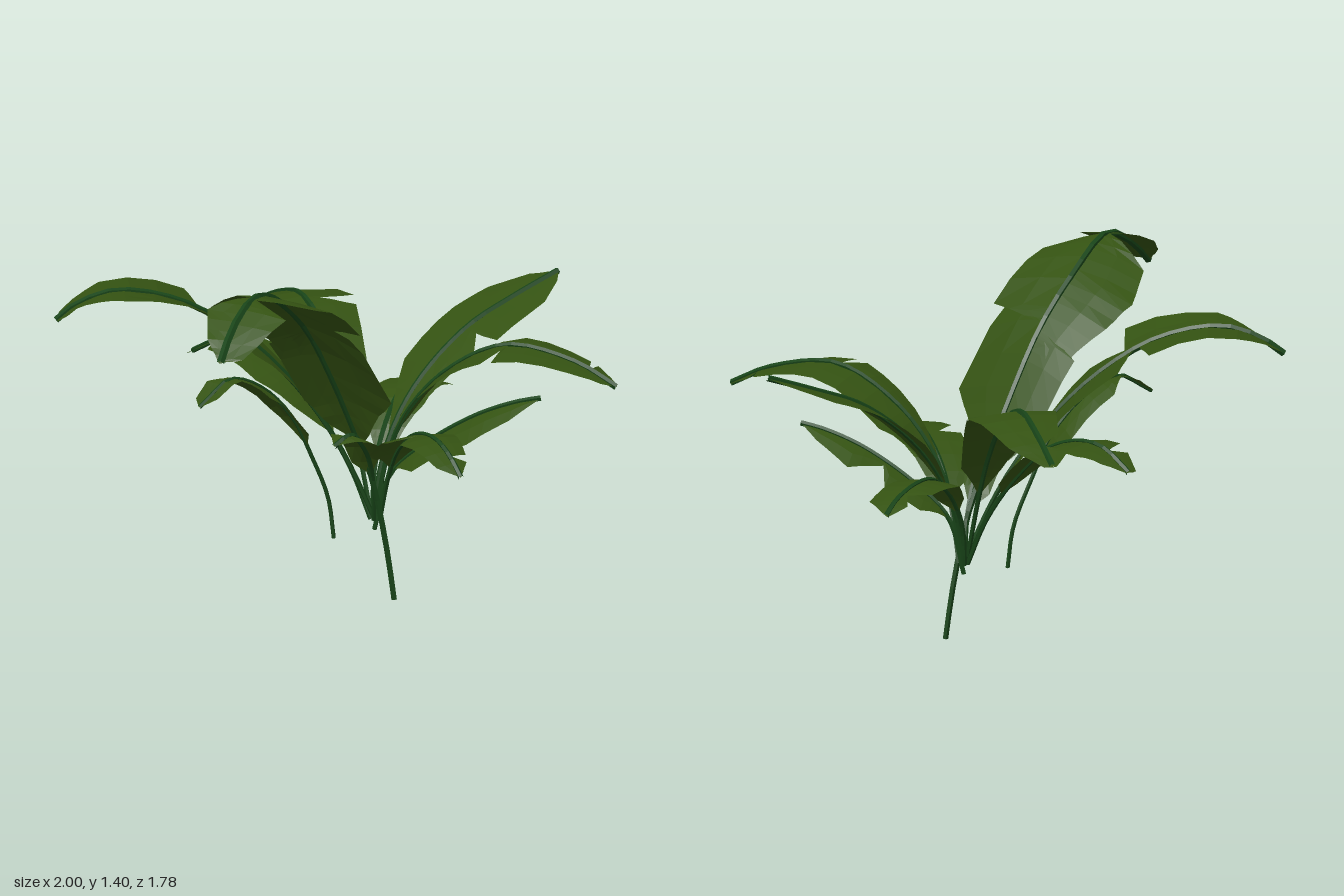
import * as THREE from 'three';

const leafMat = new THREE.MeshStandardMaterial({ color: 0x345212, flatShading: true, side: THREE.DoubleSide });
const stemMat = new THREE.MeshStandardMaterial({ color: 0x184418, flatShading: true });

// Five-sided stalk that runs on as the midrib, radius r0 at the foot and r1 at the tip
function stalkGeometry(curve, r0, r1) {
  const segs = 22, sides = 5;
  const geo = new THREE.TubeGeometry(curve, segs, 1, sides, false);
  const pos = geo.attributes.position, v = new THREE.Vector3();
  for (let i = 0; i <= segs; i++) {
    const c = curve.getPointAt(i / segs), r = THREE.MathUtils.lerp(r0, r1, i / segs);
    for (let j = 0; j <= sides; j++) {
      const k = i * (sides + 1) + j;
      v.fromBufferAttribute(pos, k).sub(c).multiplyScalar(r).add(c);
      pos.setXYZ(k, v.x, v.y, v.z);
    }
  }
  return geo;
}

// Half blade: a strip from the midrib to a plan outline [x, z, slope away from the rib]
function bladeGeometry(curve, outline, droop) {
  const rib = curve.getSpacedPoints(160);
  const verts = [], index = [];
  const addRow = (x, z, slope) => {
    let best = rib[0], bestD = Infinity;
    for (const p of rib) {
      const d = Math.hypot(p.x - x, p.z - z);
      if (d < bestD) { bestD = d; best = p; }
    }
    const n = verts.length / 3;
    for (const f of [0, 0.5, 1]) {
      verts.push(
        THREE.MathUtils.lerp(best.x, x, f),
        best.y + slope * bestD * f * (0.5 + 0.5 * f),
        THREE.MathUtils.lerp(best.z, z, f));
    }
    if (n) for (const k of [0, 1]) {
      const a = n - 3 + k, b = n + k;
      index.push(a, b, a + 1, b, b + 1, a + 1);
    }
  };
  outline.forEach(([x, z, slope = -droop], i) => {
    if (i === 0) return addRow(x, z, slope);
    const [px, pz, ps = -droop] = outline[i - 1];
    for (let s = 1; s <= 3; s++) {
      const f = s / 3;
      addRow(px + (x - px) * f, pz + (z - pz) * f, ps + (slope - ps) * f);
    }
  });
  const geo = new THREE.BufferGeometry();
  geo.setAttribute('position', new THREE.Float32BufferAttribute(verts, 3));
  geo.setIndex(index);
  geo.computeVertexNormals();
  return geo;
}

function makeLeaf(name, { spine, halves, droop = 0.12, r0 = 0.009, r1 = 0.011 }) {
  const curve = new THREE.CatmullRomCurve3(spine.map(p => new THREE.Vector3(...p)), false, 'centripetal');
  const leaf = new THREE.Group();
  leaf.name = name;
  const add = (part, geo, mat) => {
    const mesh = new THREE.Mesh(geo, mat);
    mesh.name = part;
    leaf.add(mesh);
  };
  add('stalk', stalkGeometry(curve, r0, r1), stemMat);
  halves.forEach((outline, i) => add(i ? 'bladeHalfB' : 'bladeHalfA', bladeGeometry(curve, outline, droop), leafMat));
  return leaf;
}

// Tallest leaf, whose stalk reaches the ground
const tallLeaf = {
  droop: 0.3, r0: 0.011, r1: 0.015,
  spine: [[0.18, 0, 0.15], [0.16, 0.2, 0.13], [0.1, 0.48, 0.115], [0, 0.7, 0.12], [-0.12, 0.92, 0.14],
    [-0.26, 1.13, 0.17], [-0.45, 1.29, 0.24], [-0.71, 1.39, 0.39], [-0.87, 1.32, 0.46], [-0.99, 1.22, 0.53]],
  halves: [
    [[0.03, 0.1], [-0.02, 0.02], [-0.1, -0.04], [-0.28, -0.03], [-0.27, 0.15], [-0.24, 0], [-0.42, -0.03],
      [-0.56, 0], [-0.7, 0.13], [-0.71, 0.37, 0], [-0.86, 0.3, 0], [-0.96, 0.42, 0], [-0.99, 0.52, 0]],
    [[0.04, 0.13], [-0.01, 0.25, -0.2], [-0.07, 0.43, -0.2], [-0.28, 0.43, -0.3], [-0.27, 0.19, 0],
      [-0.24, 0.45, -0.1], [-0.51, 0.52, -0.2], [-0.71, 0.41, -0.2], [-0.72, 0.59, -0.1], [-0.93, 0.59, 0],
      [-0.99, 0.53, 0]],
  ],
};
const backRightLeaf = {
  droop: 0, r1: 0.014,
  spine: [[0.15, 0.3, 0.07], [0.08, 0.5, 0.02], [0, 0.68, -0.04], [-0.12, 0.87, -0.12], [-0.27, 1.04, -0.22],
    [-0.45, 1.17, -0.34], [-0.65, 1.215, -0.48], [-0.78, 1.16, -0.57], [-0.84, 1.11, -0.6]],
  halves: [
    [[0.05, 0], [-0.02, -0.27], [-0.2, -0.44], [-0.34, -0.31], [-0.39, -0.29], [-0.3, -0.5], [-0.6, -0.64],
      [-0.8, -0.63], [-0.84, -0.6]],
    [[0.02, -0.02], [-0.05, -0.07], [-0.34, -0.04], [-0.4, -0.28], [-0.46, -0.1, 0.25], [-0.73, -0.32, 0.05],
      [-0.78, -0.5], [-0.85, -0.57], [-0.84, -0.6]],
  ],
};
// Separate shoot to the right
const rightLeaf = {
  droop: 0.3, r0: 0.008, r1: 0.008,
  spine: [[-0.04, 0.26, 0.06], [-0.06, 0.42, 0.05], [-0.13, 0.6, 0.03], [-0.2, 0.74, 0.02], [-0.33, 0.88, 0],
    [-0.5, 0.95, 0], [-0.6, 0.9, 0.005], [-0.65, 0.87, 0.005]],
  halves: [
    [[-0.15, 0.01], [-0.22, -0.1], [-0.42, -0.09], [-0.5, -0.02, 0], [-0.55, -0.07, 0], [-0.62, -0.05, 0],
      [-0.65, 0, 0]],
    [[-0.15, 0.04], [-0.22, 0.13], [-0.4, 0.12], [-0.48, 0.05, 0], [-0.6, 0.05, 0], [-0.65, 0.01, 0]],
  ],
};
const leftLeaf = {
  droop: 0.06, r1: 0.013,
  spine: [[0.16, 0.3, 0.05], [0.2, 0.5, 0.05], [0.28, 0.67, 0.05], [0.4, 0.82, 0.06], [0.6, 0.97, 0.08],
    [0.8, 1.05, 0.1], [1, 1.12, 0.125]],
  halves: [
    [[0.24, 0.04], [0.35, -0.04], [0.44, -0.1], [0.68, -0.1], [0.83, -0.08], [0.95, 0.02], [1, 0.12]],
    [[0.24, 0.06], [0.33, 0.15], [0.5, 0.23], [0.58, 0.15], [0.58, 0.27], [0.83, 0.25], [0.95, 0.18], [1, 0.13]],
  ],
};
const smallBackLeftLeaf = {
  spine: [[0.16, 0.3, 0.05], [0.19, 0.45, 0.02], [0.26, 0.58, -0.02], [0.4, 0.69, -0.1], [0.55, 0.71, -0.19],
    [0.67, 0.68, -0.25], [0.75, 0.64, -0.3]],
  halves: [
    [[0.22, 0], [0.25, -0.08], [0.39, -0.24], [0.54, -0.3], [0.62, -0.25], [0.66, -0.31], [0.75, -0.31]],
    [[0.23, 0.01], [0.28, 0.04], [0.45, 0], [0.62, -0.1], [0.73, -0.16], [0.75, -0.3]],
  ],
};
const bigBackLeaf = {
  droop: 0.08, r1: 0.013,
  spine: [[0.14, 0.33, 0.06], [0.15, 0.55, -0.02], [0.18, 0.74, -0.13], [0.23, 0.92, -0.3], [0.28, 1.02, -0.5],
    [0.34, 0.98, -0.7], [0.39, 0.9, -0.88]],
  halves: [
    [[0.15, -0.04], [0.11, -0.12], [0.09, -0.22], [0.14, -0.53], [0.25, -0.71], [0.36, -0.77], [0.28, -0.82],
      [0.38, -0.89]],
    [[0.16, -0.04], [0.27, -0.09], [0.44, -0.38], [0.33, -0.46], [0.47, -0.43], [0.48, -0.72], [0.42, -0.87],
      [0.39, -0.89]],
  ],
};
const backLeaf = {
  spine: [[0.14, 0.3, 0.06], [0.12, 0.48, -0.03], [0.09, 0.66, -0.17], [0.05, 0.8, -0.32], [0.02, 0.87, -0.5],
    [0, 0.87, -0.64], [-0.02, 0.8, -0.78]],
  halves: [
    [[0.1, -0.12], [-0.02, -0.2], [-0.1, -0.32], [-0.11, -0.59], [-0.01, -0.66], [-0.09, -0.67], [-0.06, -0.77],
      [-0.02, -0.78]],
    [[0.11, -0.12], [0.19, -0.22], [0.18, -0.45], [0.13, -0.65], [0.06, -0.72], [-0.01, -0.78]],
  ],
};
const frontLeaf = {
  spine: [[0.16, 0.3, 0.09], [0.15, 0.48, 0.15], [0.13, 0.61, 0.23], [0.1, 0.7, 0.36], [0.05, 0.735, 0.54],
    [0.02, 0.7, 0.66], [0, 0.64, 0.75]],
  halves: [
    [[0.14, 0.17], [0.01, 0.21], [-0.06, 0.4], [0.02, 0.43], [-0.07, 0.48], [-0.06, 0.68], [0, 0.75]],
    [[0.15, 0.17], [0.2, 0.25], [0.19, 0.48], [0.09, 0.67], [0.02, 0.66], [0.07, 0.7], [0, 0.75]],
  ],
};
const bigFrontLeaf = {
  r1: 0.013,
  spine: [[0.16, 0.33, 0.07], [0.19, 0.55, 0.1], [0.23, 0.73, 0.17], [0.31, 0.9, 0.3], [0.43, 1.02, 0.5],
    [0.57, 0.98, 0.73], [0.65, 0.9, 0.88]],
  halves: [
    [[0.2, 0.12], [0.2, 0.32], [0.26, 0.55], [0.41, 0.52], [0.28, 0.59], [0.49, 0.79], [0.59, 0.86], [0.65, 0.88]],
    [[0.21, 0.12], [0.3, 0.12], [0.47, 0.16], [0.59, 0.43], [0.67, 0.71], [0.6, 0.78], [0.68, 0.74], [0.67, 0.86],
      [0.65, 0.88]],
  ],
};
// Low leaves sheltered by the big ones
const lowFrontLeaf = {
  droop: 0.45,
  spine: [[0.15, 0.26, 0.07], [0.19, 0.47, 0.11], [0.27, 0.59, 0.2], [0.4, 0.72, 0.36], [0.5, 0.78, 0.48],
    [0.56, 0.8, 0.55]],
  halves: [
    [[0.2, 0.11], [0.32, 0.11], [0.42, 0.2], [0.37, 0.28], [0.52, 0.3], [0.56, 0.45], [0.56, 0.55]],
    [[0.2, 0.13], [0.17, 0.26], [0.28, 0.45], [0.42, 0.53], [0.56, 0.55]],
  ],
};
const lowRightLeaf = {
  spine: [[0.14, 0.3, 0.08], [0.1, 0.48, 0.12], [0.03, 0.61, 0.16], [-0.06, 0.69, 0.18], [-0.14, 0.66, 0.18]],
  halves: [
    [[0.09, 0.12], [0.03, 0.08], [-0.08, 0.09], [-0.14, 0.18]],
    [[0.09, 0.13], [0.04, 0.28], [-0.05, 0.27], [-0.14, 0.18]],
  ],
};

export function createModel() {
  const plant = new THREE.Group();
  plant.name = 'broadLeafPlant';
  const leaves = { tallLeaf, backRightLeaf, rightLeaf, leftLeaf, smallBackLeftLeaf, bigBackLeaf, backLeaf,
    frontLeaf, bigFrontLeaf, lowFrontLeaf, lowRightLeaf };
  for (const [name, spec] of Object.entries(leaves)) plant.add(makeLeaf(name, spec));
  return plant;
}
